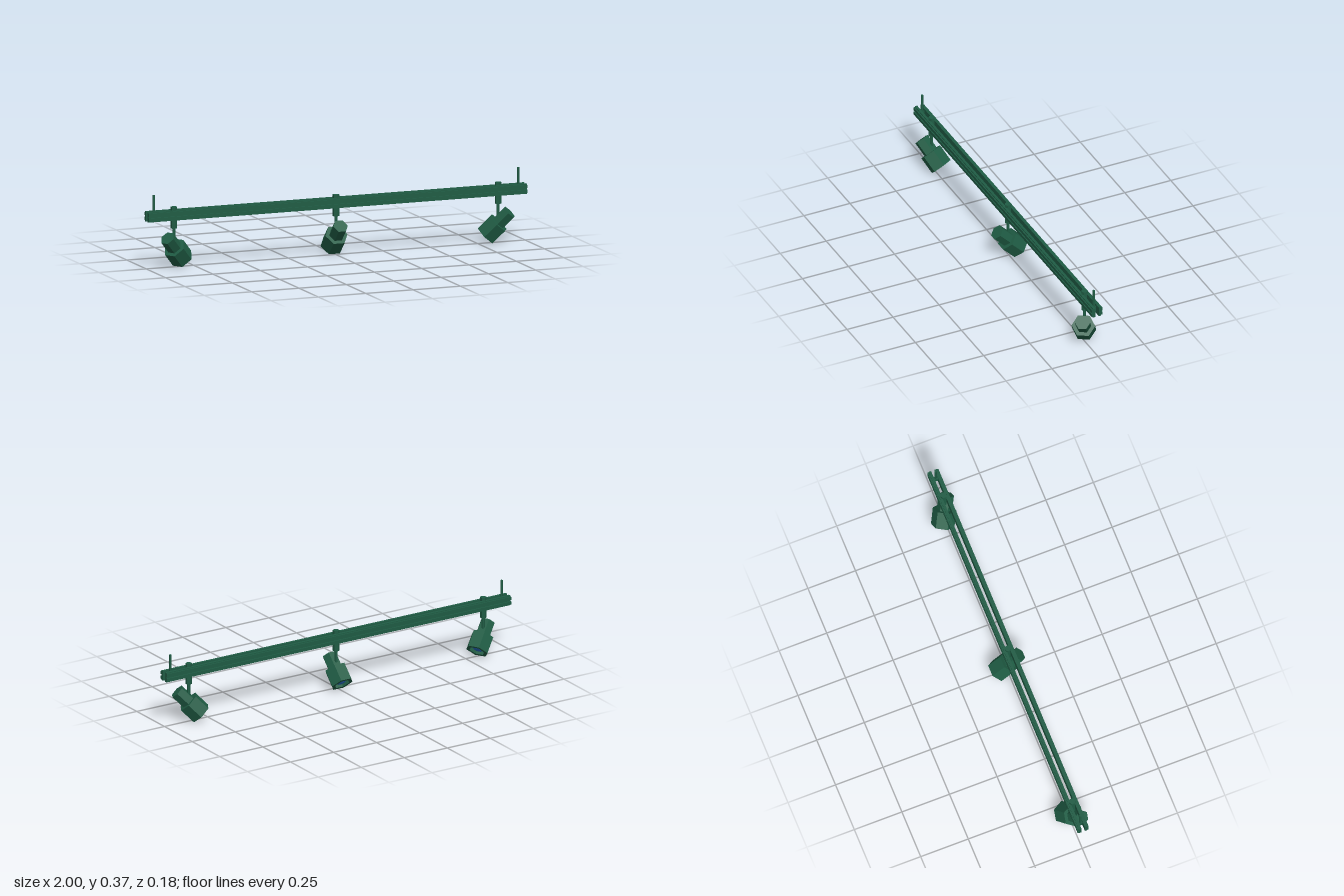
import * as THREE from 'three';

const green = new THREE.MeshStandardMaterial({ color: 0x1f5c44, flatShading: true });
const blue = new THREE.MeshStandardMaterial({ color: 0x2463b8, flatShading: true });
const Z = 0.005;        // centre line of the track
const RAIL_Y = 0.26;    // mid height of the rails

function add(parent, name, geometry, x, y, z, material = green) {
  const mesh = new THREE.Mesh(geometry, material);
  mesh.name = name;
  mesh.position.set(x, y, z);
  parent.add(mesh);
  return mesh;
}

// Upright hexagonal rod between two heights
function hexRod(parent, name, r, y0, y1, x) {
  return add(parent, name, new THREE.CylinderGeometry(r, r, y1 - y0, 6), x, (y0 + y1) / 2, Z);
}

// Rail section: a web with two ribs on its outer side, run along x
function railGeometry() {
  const pts = [
    [0.009, -0.025], [0.022, -0.025], [0.022, -0.02], [0.029, -0.02], [0.029, -0.004],
    [0.022, -0.004], [0.022, 0.004], [0.029, 0.004], [0.029, 0.02], [0.022, 0.02],
    [0.022, 0.025], [0.009, 0.025],
  ];
  const shape = new THREE.Shape(pts.map(([x, y]) => new THREE.Vector2(x, y)));
  const g = new THREE.ExtrudeGeometry(shape, { depth: 2, bevelEnabled: false });
  return g.translate(0, 0, -1);
}

// Lamp along y about its pivot: narrow back housing above, open head below
function lamp() {
  const group = new THREE.Group();
  const profile = [
    [0, -0.066], [0.037, -0.066], [0.041, -0.088], [0.058, -0.088],
    [0.058, 0], [0.038, 0], [0.038, 0.077], [0, 0.077],
  ].map(([r, y]) => new THREE.Vector2(r, y));
  add(group, 'lampHousing', new THREE.LatheGeometry(profile, 6, Math.PI / 6), 0, 0, 0);

  // Faceted dome lens recessed in the head
  const lens = [[0, -0.085], [0.02, -0.081], [0.037, -0.067]].map(([r, y]) => new THREE.Vector2(r, y));
  add(group, 'lens', new THREE.LatheGeometry(lens, 6, Math.PI / 6), 0, 0, 0, blue);
  return group;
}

export function createModel() {
  const model = new THREE.Group();
  model.name = 'trackLight';

  // Twin rails, mirrored about the centre line
  const rail = railGeometry();
  add(model, 'frontRail', rail, 0, RAIL_Y, Z).rotation.y = -Math.PI / 2;
  add(model, 'backRail', rail, 0, RAIL_Y, Z).rotation.y = Math.PI / 2;

  // Ceiling rods and the spacers that hold the rails apart
  for (const x of [-0.962, 0.962]) {
    hexRod(model, 'ceilingRod', 0.006, 0.24, 0.366, x);
    add(model, 'railSpacer', new THREE.BoxGeometry(0.014, 0.03, 0.03), x, RAIL_Y, Z);
  }

  // Three spotlights; the outer two are turned inward
  for (const side of [-1, 0, 1]) {
    const x = side * 0.856;
    const spot = new THREE.Group();
    spot.name = ['rightSpotlight', 'middleSpotlight', 'leftSpotlight'][side + 1];
    hexRod(spot, 'trackClamp', 0.0165, 0.193, 0.3, x);
    hexRod(spot, 'stem', 0.008, 0.1, 0.2, x);
    const head = lamp();
    head.name = 'lamp';
    head.position.set(x, 0.098, 0.01);
    head.rotation.order = 'YXZ';
    head.rotation.set(Math.PI / 4, side * Math.PI / 3, 0);
    spot.add(head);
    model.add(spot);
  }
  return model;
}
